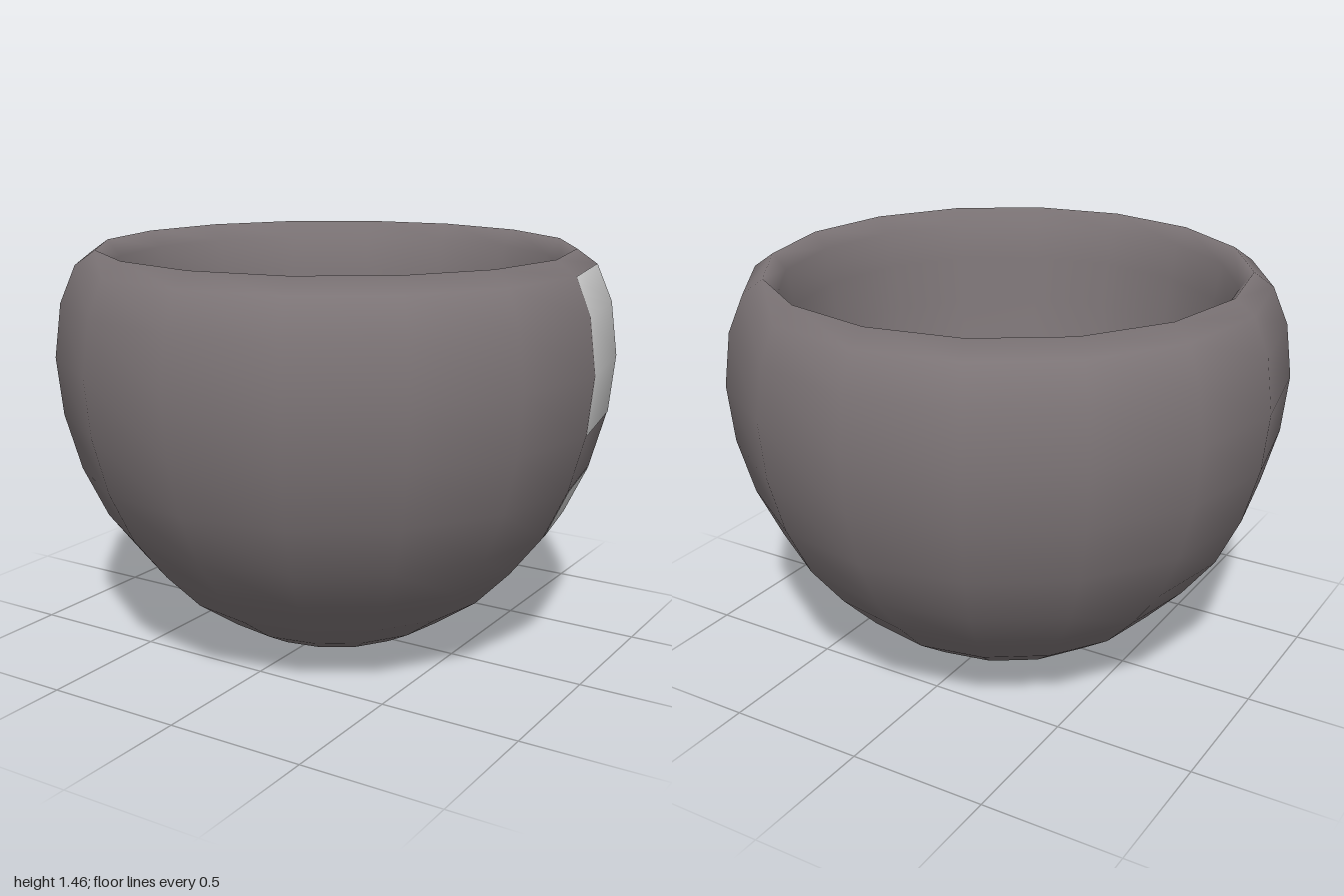
import * as THREE from 'three';

const SIDES = 16;
const STEP = (Math.PI * 2) / SIDES;

// Outer wall from base to rim, as [radius, height]
const outer = [
  [0, 0], [0.23, 0.02], [0.33, 0.05], [0.44, 0.11], [0.59, 0.215], [0.72, 0.35], [0.84, 0.505],
  [0.925, 0.685], [0.98, 0.885], [1, 1.09], [0.975, 1.28], [0.92, 1.41], [0.85, 1.46],
];
// Soft lip, steep tapering inner wall and rounded floor, from rim down to the centre
const inner = [
  [0.805, 1.4], [0.78, 1.27], [0.76, 1.1], [0.72, 0.86], [0.66, 0.6], [0.57, 0.35],
  [0.43, 0.2], [0.24, 0.13], [0, 0.11],
];

const toPoints = (list, grow = 0) => list.map(([r, y]) => new THREE.Vector2(r + grow, y));

export function createModel() {
  const model = new THREE.Group();
  model.name = 'bowl';

  const add = (name, geometry, color) => {
    const mesh = new THREE.Mesh(geometry, new THREE.MeshStandardMaterial({ color }));
    mesh.name = name;
    model.add(mesh);
  };

  // Hollow thick-walled body
  add('bowlBody', new THREE.LatheGeometry(toPoints([...outer, ...inner]), SIDES), 0x7d7577);

  // Pale panels: rows of one facet column of the left wall, keeping its smooth normals
  const addPanel = (name, from, to) => {
    const column = new THREE.LatheGeometry(toPoints(outer, 0.002), 1, Math.PI / 2, STEP);
    column.setIndex(Array.from(column.index.array.slice(from * 6, to * 6)));
    add(name, column, 0xcccccc);
  };
  addPanel('upperPanel', 8, 11);
  addPanel('lowerPanel', 6, 7);

  return model;
}
